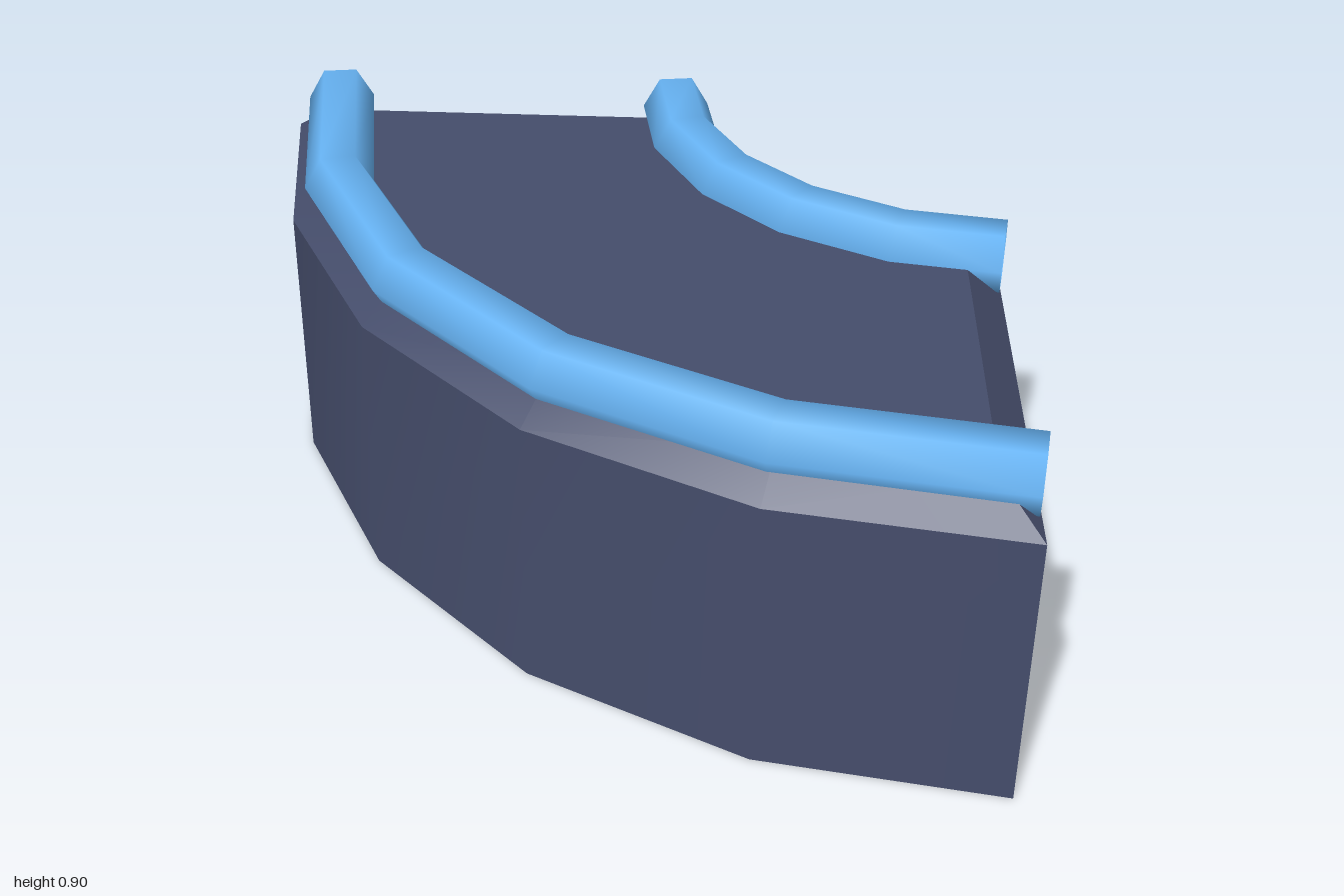
import * as THREE from 'three';
import { toCreasedNormals } from 'three/addons/utils/BufferGeometryUtils.js';

const V = (x, z) => new THREE.Vector2(x, z);

// Completes a half path by mirroring it across the diagonal x = -z
const mirrorPath = (half) => [
  ...half.map(([x, z]) => V(x, z)),
  ...half.slice().reverse().map(([x, z]) => V(-z, -x)),
];

// Mitred sideways direction at every point of a path, in the ground plane
function miters(pts, closed) {
  const n = pts.length;
  const side = (i) => {
    const d = pts[(i + 1) % n].clone().sub(pts[(i + n) % n]).normalize();
    return V(d.y, -d.x);
  };
  return pts.map((_, i) => {
    if (!closed && i === 0) return side(0);
    if (!closed && i === n - 1) return side(n - 2);
    const a = side((i + n - 1) % n), b = side(i);
    return a.clone().add(b).divideScalar(1 + a.dot(b));
  });
}

// Curved block: upright walls, 45 degree bevel, flat top, open underneath
function blockGeometry(outline, wallTop, top, inset) {
  const m = miters(outline, true);
  const inner = outline.map((p, i) => p.clone().addScaledVector(m[i], inset));
  const levels = [[outline, 0], [outline, wallTop], [inner, top]];
  const pos = [];
  const put = (p, y) => pos.push(p.x, y, p.y);
  for (let l = 0; l < 2; l++) {
    const [lo, y0] = levels[l], [hi, y1] = levels[l + 1];
    for (let i = 0; i < lo.length; i++) {
      const j = (i + 1) % lo.length;
      put(lo[i], y0); put(lo[j], y0); put(hi[j], y1);
      put(lo[i], y0); put(hi[j], y1); put(hi[i], y1);
    }
  }
  const flat = inner.map((p) => V(p.x, -p.y));
  for (const face of THREE.ShapeUtils.triangulateShape(flat, [])) {
    face.forEach((k) => put(inner[k], top));
  }
  const g = new THREE.BufferGeometry();
  g.setAttribute('position', new THREE.Float32BufferAttribute(pos, 3));
  return toCreasedNormals(g, 0.6);
}

// Open six-sided tube following a path, with mitred joints
function railGeometry(path, y, r) {
  const sides = 6, pos = [], index = [];
  const m = miters(path, false);
  path.forEach((p, i) => {
    for (let s = 0; s < sides; s++) {
      const a = (s / sides) * Math.PI * 2, c = r * Math.cos(a);
      pos.push(p.x + m[i].x * c, y + r * Math.sin(a), p.y + m[i].y * c);
    }
  });
  for (let i = 0; i < path.length - 1; i++) {
    for (let s = 0; s < sides; s++) {
      const t = (s + 1) % sides;
      const a = i * sides + s, b = i * sides + t, c = a + sides, d = b + sides;
      index.push(a, b, d, a, d, c);
    }
  }
  const g = new THREE.BufferGeometry();
  g.setAttribute('position', new THREE.Float32BufferAttribute(pos, 3));
  g.setIndex(index);
  g.computeVertexNormals();
  return g;
}

export function createModel() {
  const group = new THREE.Group();
  const dark = new THREE.MeshStandardMaterial({ color: 0x454d6b, side: THREE.DoubleSide });
  const blue = new THREE.MeshStandardMaterial({ color: 0x66b2f2, side: THREE.DoubleSide });
  const add = (name, geometry, material) => {
    const mesh = new THREE.Mesh(geometry, material);
    mesh.name = name;
    group.add(mesh);
  };

  // Quarter-turn block
  const outer = mirrorPath([[-0.995, -0.985], [-0.9, -0.375], [-0.62, 0.18]]);
  const inner = mirrorPath([[0.25, -0.985], [0.285, -0.76], [0.39, -0.55]]);
  add('curvedBlock', blockGeometry([...outer, ...inner.reverse()], 0.725, 0.82, 0.097), dark);

  // Rails along both curved edges
  const outerPath = mirrorPath([[-0.865, -0.985], [-0.772, -0.41], [-0.515, 0.105]]);
  const innerPath = mirrorPath([[0.115, -0.985], [0.157, -0.72], [0.285, -0.47]]);
  add('outerRail', railGeometry(outerPath, 0.82, 0.093), blue);
  add('innerRail', railGeometry(innerPath, 0.82, 0.093), blue);
  return group;
}
